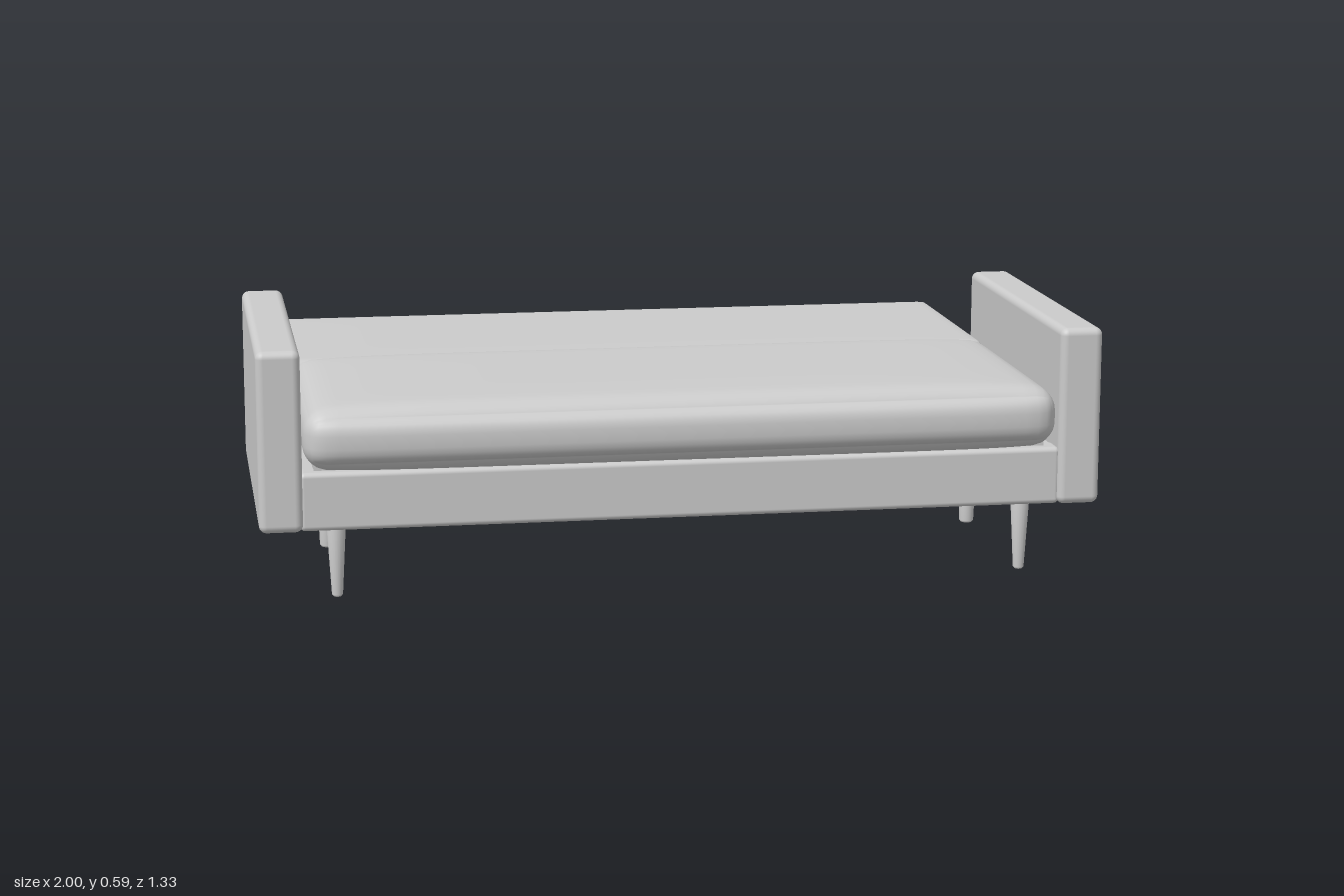
import * as THREE from 'three';
import { mergeVertices } from 'three/addons/utils/BufferGeometryUtils.js';
import { RoundedBoxGeometry } from 'three/addons/geometries/RoundedBoxGeometry.js';

const material = new THREE.MeshStandardMaterial({ color: 0xcccccc });

function place(group, name, geometry, x, y, z) {
  const mesh = new THREE.Mesh(geometry, material);
  mesh.name = name;
  mesh.position.set(x, y, z);
  group.add(mesh);
  return mesh;
}

// Box given by its limits; a radius rounds the edges
function block(group, name, [x0, x1], [y0, y1], [z0, z1], radius = 0) {
  const size = [x1 - x0, y1 - y0, z1 - z0];
  const geometry = radius
    ? new RoundedBoxGeometry(...size, 4, radius)
    : new THREE.BoxGeometry(...size);
  return place(group, name, geometry, (x0 + x1) / 2, (y0 + y1) / 2, (z0 + z1) / 2);
}

// Soft cushion: rounded box whose faces swell towards the middle
function cushionGeometry(w, h, d, radius, swellY, swellZ) {
  let geometry = new THREE.BoxGeometry(2, 2, 2, 36, 14, 28);
  geometry.deleteAttribute('normal');
  geometry.deleteAttribute('uv');
  geometry = mergeVertices(geometry);
  const half = new THREE.Vector3(w / 2, h / 2 - swellY, d / 2 - swellZ);
  const inner = half.clone().subScalar(radius);
  const p = new THREE.Vector3(), core = new THREE.Vector3();
  const pos = geometry.attributes.position;
  const ease = (t) => Math.sin(t * Math.PI / 2);
  for (let i = 0; i < pos.count; i++) {
    p.fromBufferAttribute(pos, i);
    p.set(ease(p.x), ease(p.y), ease(p.z));
    const { x: u, y: v, z: t } = p;
    p.multiply(half);
    core.copy(p).clamp(inner.clone().negate(), inner);
    p.sub(core).setLength(radius).add(core);
    p.y += swellY * v * (1 - u ** 8) * (1 - t ** 8);
    p.z += swellZ * t * (1 - u ** 12) * (1 - v ** 4);
    pos.setXYZ(i, p.x, p.y, p.z);
  }
  geometry.computeVertexNormals();
  return geometry;
}

// Round tapered leg with a softened foot
function legGeometry(height, top, bottom) {
  const profile = [[0, 0], [bottom - 0.004, 0], [bottom, 0.005], [top, height], [0, height]];
  return new THREE.LatheGeometry(profile.map(([r, y]) => new THREE.Vector2(r, y)), 20);
}

export function createModel() {
  const sofaBed = new THREE.Group();
  sofaBed.name = 'sofaBed';

  // Seat and folded-down backrest
  place(sofaBed, 'seatCushion', cushionGeometry(1.79, 0.17, 0.715, 0.055, 0.016, 0.012), 0, 0.38, 0.3075);
  place(sofaBed, 'backCushion', cushionGeometry(1.79, 0.124, 0.612, 0.022, 0.001, 0.001), 0, 0.377, -0.361);

  // Seat frame, open underneath
  block(sofaBed, 'frontRail', [-0.905, 0.905], [0.167, 0.305], [0.56, 0.628], 0.012);
  block(sofaBed, 'seatBase', [-0.87, 0.87], [0.29, 0.33], [-0.03, 0.6]);

  // Storage box under the bed
  block(sofaBed, 'boxBackPanel', [-0.87, 0.87], [0.135, 0.318], [-0.47, -0.405]);
  block(sofaBed, 'boxFrontPanel', [-0.86, 0.86], [0.138, 0.29], [0.11, 0.15], 0.01);
  block(sofaBed, 'boxFloor', [-0.86, 0.86], [0.14, 0.16], [-0.41, 0.13]);

  for (const [side, s] of [['left', 1], ['right', -1]]) {
    const span = (a, b) => (s > 0 ? [a, b] : [-b, -a]);
    block(sofaBed, side + 'Arm', span(0.898, 1), [0.167, 0.594], [-0.213, 0.64], 0.018);
    block(sofaBed, side + 'SideRail', span(0.855, 0.905), [0.17, 0.3], [-0.2, 0.6]);
    block(sofaBed, side + 'BoxSide', span(0.83, 0.865), [0.14, 0.315], [-0.41, 0.13]);

    // Legs: slim at the front, sturdier under the box
    place(sofaBed, side + 'FrontLeg', legGeometry(0.18, 0.023, 0.013), s * 0.82, 0, 0.583);
    place(sofaBed, side + 'MiddleLeg', legGeometry(0.145, 0.023, 0.018), s * 0.815, 0, 0.107);
    place(sofaBed, side + 'BackLeg', legGeometry(0.145, 0.023, 0.018), s * 0.815, 0, -0.4);
  }
  return sofaBed;
}
